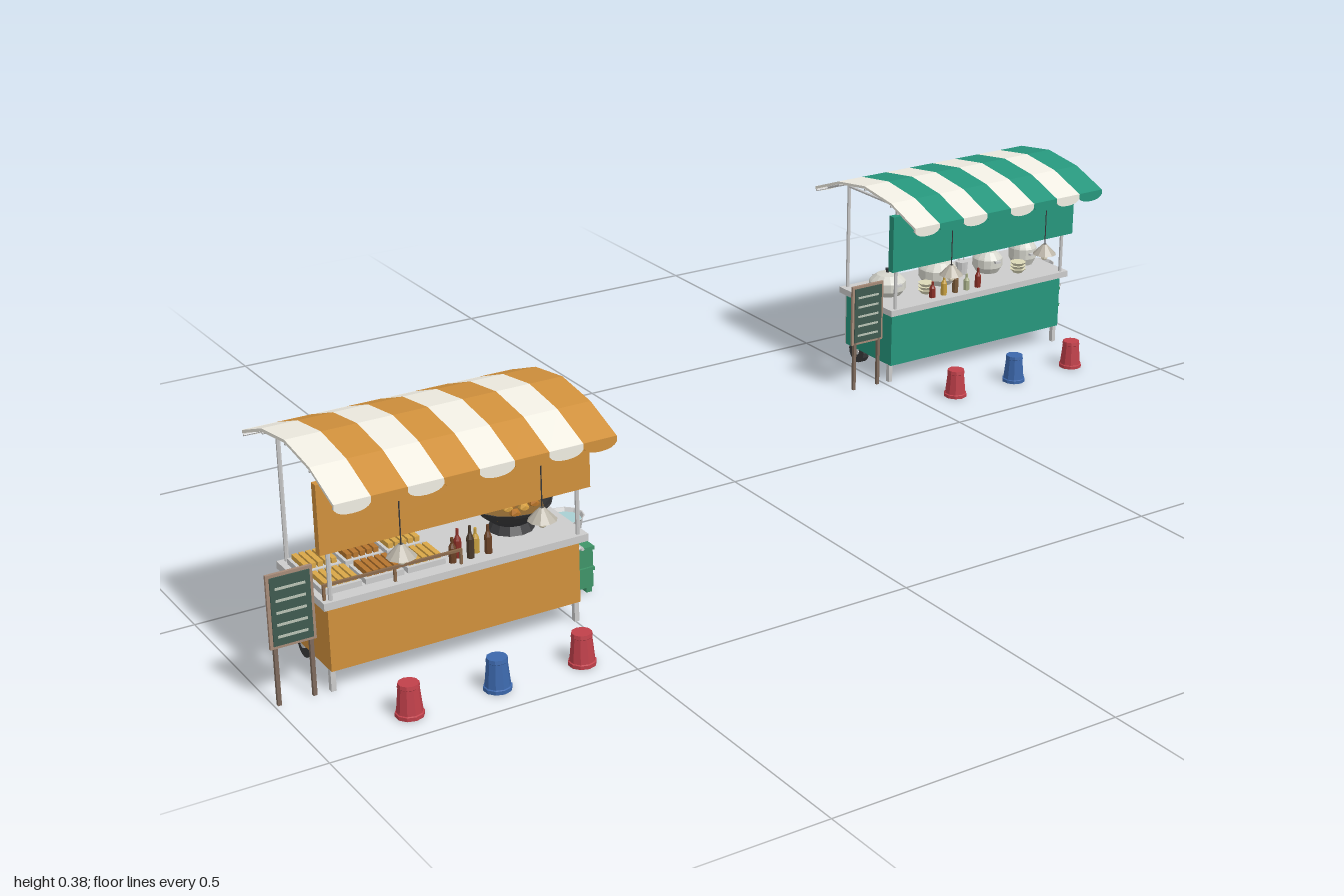
import * as THREE from 'three';

const mats = {};
function mat(color) {
  return (mats[color] ??= new THREE.MeshStandardMaterial({ color, flatShading: true, side: THREE.DoubleSide }));
}
const GREY = 0xcccccc, CREAM = 0xf0ede2, WOOD = 0x8a6a4c, DARK = 0x3a3a3c, RED = 0xc0404a, BLUE = 0x3c68ac, CRATE = 0x3f9468;

function add(parent, name, geo, color, x = 0, y = 0, z = 0) {
  const m = new THREE.Mesh(geo, mat(color));
  m.name = name;
  m.position.set(x, y, z);
  parent.add(m);
  return m;
}
// Box given by its min and max corners
function box(p, name, color, x0, x1, y0, y1, z0, z1) {
  return add(p, name, new THREE.BoxGeometry(x1 - x0, y1 - y0, z1 - z0), color, (x0 + x1) / 2, (y0 + y1) / 2, (z0 + z1) / 2);
}
// Upright cylinder standing on y
function cyl(p, name, color, rTop, rBottom, h, x, y, z, sides = 10) {
  return add(p, name, new THREE.CylinderGeometry(rTop, rBottom, h, sides), color, x, y + h / 2, z);
}
function lathe(p, name, color, pts, x, y, z, sides = 14) {
  return add(p, name, new THREE.LatheGeometry(pts.map(a => new THREE.Vector2(...a)), sides), color, x, y, z);
}
// Round bar between two points
function bar(p, name, color, a, b, r = 0.003) {
  const A = new THREE.Vector3(...a), B = new THREE.Vector3(...b);
  const m = add(p, name, new THREE.CylinderGeometry(r, r, A.distanceTo(B), 6), color);
  m.position.copy(A).lerp(B, 0.5);
  m.quaternion.setFromUnitVectors(new THREE.Vector3(0, 1, 0), B.sub(A).normalize());
  return m;
}

// Bent striped awning with a scalloped edge
function addCanopy(p, color) {
  const g = new THREE.Group(); g.name = 'canopy'; p.add(g);
  const half = 0.2275, n = 8, w = 2 * half / n;
  const prof = [[0.161, 0.341], [0.085, 0.37], [0, 0.382], [-0.085, 0.37], [-0.161, 0.341]];
  const under = prof.map(([z, y]) => [z, y - 0.005]).reverse();
  const shape = new THREE.Shape([...prof, ...under].map(([z, y]) => new THREE.Vector2(-z, y)));
  const strip = new THREE.ExtrudeGeometry(shape, { depth: w, bevelEnabled: false });
  strip.rotateY(Math.PI / 2);
  const flap = (drop) => {
    const s = new THREE.Shape();
    s.moveTo(0, 0); s.lineTo(0, -drop * 0.45);
    s.quadraticCurveTo(w * 0.1, -drop, w / 2, -drop);
    s.quadraticCurveTo(w * 0.9, -drop, w, -drop * 0.45);
    s.lineTo(w, 0);
    return new THREE.ExtrudeGeometry(s, { depth: 0.003, bevelEnabled: false, curveSegments: 4 });
  };
  const front = flap(0.019), back = flap(0.011);
  for (let i = 0; i < n; i++) {
    const c = i % 2 ? color : CREAM, x = -half + i * w;
    add(g, 'canopyStripe', strip, c, x);
    add(g, 'frontScallop', front, c, x, 0.341, 0.159);
    add(g, 'backScallop', back, c, x, 0.341, -0.162);
  }
  // Ribs under the cloth
  for (const [z, y] of prof) bar(g, 'canopyRib', GREY, [-half, y - 0.007, z * 0.98], [half, y - 0.007, z * 0.98], 0.002);
  for (const x of [-0.2, 0.2]) for (let i = 0; i < 4; i++)
    bar(g, 'canopyRafter', GREY, [x, prof[i][1] - 0.007, prof[i][0]], [x, prof[i + 1][1] - 0.007, prof[i + 1][0]], 0.002);
}

function addFrame(p, color) {
  // Cabinet, open at the back above a shelf
  box(p, 'cabinetFront', color, -0.209, 0.209, 0.035, 0.141, 0.066, 0.072);
  for (const s of [-1, 1]) box(p, 'cabinetSide', color, s * 0.206 - 0.003, s * 0.206 + 0.003, 0.035, 0.141, -0.077, 0.066);
  box(p, 'cabinetBack', color, -0.203, 0.203, 0.035, 0.097, -0.077, -0.071);
  box(p, 'cabinetFloor', WOOD, -0.203, 0.203, 0.035, 0.039, -0.071, 0.066);
  box(p, 'innerShelf', WOOD, -0.203, 0.203, 0.093, 0.097, -0.071, 0.066);
  box(p, 'counter', GREY, -0.219, 0.219, 0.141, 0.153, -0.087, 0.084);
  box(p, 'shelfBox', RED, 0.06, 0.1, 0.097, 0.117, -0.06, -0.03);
  box(p, 'shelfTray', GREY, -0.12, -0.03, 0.097, 0.112, -0.06, -0.02);
  // Posts, legs and wheels
  for (const x of [-0.205, 0.205]) {
    bar(p, 'backPost', GREY, [x, 0.035, -0.08], [x, 0.36, -0.08], 0.0035);
    bar(p, 'frontPost', GREY, [x, 0.15, 0.076], [x, 0.36, 0.076], 0.0035);
    bar(p, 'topRail', GREY, [x, 0.358, -0.08], [x, 0.358, 0.076]);
    box(p, 'frontLeg', GREY, x - 0.004, x + 0.004, 0, 0.036, 0.058, 0.067);
    const wx = x * 0.93;
    const wheel = cyl(p, 'wheel', DARK, 0.024, 0.024, 0.014, wx, 0.017, -0.057, 16);
    wheel.rotation.z = Math.PI / 2;
    const hub = cyl(p, 'wheelHub', GREY, 0.009, 0.009, 0.018, wx, 0.015, -0.057, 8);
    hub.rotation.z = Math.PI / 2;
  }
  for (const z of [-0.08, 0.076]) bar(p, 'longRail', GREY, [-0.205, 0.358, z], [0.205, 0.358, z]);
  // Blank fascia board and end handle
  box(p, 'fasciaBoard', color, -0.222, 0.222, 0.232, 0.342, 0.074, 0.088);
  bar(p, 'handle', GREY, [0.222, 0.116, 0.06], [0.222, 0.116, -0.06]);
  for (const z of [0.055, -0.055]) bar(p, 'handleStub', GREY, [0.206, 0.116, z], [0.222, 0.116, z]);
}

function addFittings(p) {
  // Hanging lamps
  for (const x of [-0.115, 0.115]) {
    bar(p, 'lampCord', DARK, [x, 0.24, 0.131], [x, 0.352, 0.131], 0.001);
    lathe(p, 'lampShade', 0xb9b3a6, [[0.004, 0.02], [0.008, 0.016], [0.023, 0]], x, 0.221, 0.131, 10);
    add(p, 'bulb', new THREE.SphereGeometry(0.007, 8, 6), 0xf3ead0, x, 0.215, 0.131);
    box(p, 'lampClamp', GREY, x - 0.009, x + 0.009, 0.353, 0.357, 0.086, 0.104);
    box(p, 'lampClampStem', GREY, x - 0.002, x + 0.002, 0.343, 0.355, 0.093, 0.097);
  }
  // Wash basin with water
  lathe(p, 'basin', GREY, [[0, 0], [0.025, 0], [0.03, 0.028], [0.033, 0.031], [0.031, 0.031], [0.028, 0.025]], 0.243, 0.101, -0.035, 12);
  cyl(p, 'water', 0xa9cfd2, 0.028, 0.028, 0.001, 0.243, 0.125, -0.035, 12);
  // Two stacked crates
  for (const y of [0.01, 0.046]) {
    box(p, 'crate', CRATE, 0.21, 0.278, y, y + 0.032, -0.058, -0.008);
    box(p, 'crateRim', CRATE, 0.208, 0.28, y + 0.029, y + 0.035, -0.06, -0.006);
  }
  for (const x of [0.216, 0.272]) box(p, 'crateFoot', CRATE, x - 0.005, x + 0.005, 0, 0.01, -0.055, -0.011);
  // Standing board with plain ruled rows
  box(p, 'standBoard', 0xa58a78, -0.297, -0.225, 0.092, 0.21, 0.059, 0.064);
  box(p, 'standBoardFace', 0x3f5a50, -0.292, -0.23, 0.097, 0.205, 0.062, 0.066);
  for (let i = 0; i < 5; i++) box(p, 'boardRow', 0xb8c2b4, -0.285, -0.238, 0.109 + i * 0.019, 0.113 + i * 0.019, 0.064, 0.067);
  for (const x of [-0.289, -0.233]) box(p, 'standLeg', 0x7d6a5c, x - 0.003, x + 0.003, 0, 0.1, 0.058, 0.064);
  // Stools in front
  [RED, BLUE, RED].forEach((c, i) => lathe(p, 'stool', c,
    [[0, 0], [0.022, 0], [0.022, 0.006], [0.02, 0.007], [0.016, 0.046], [0.017, 0.047], [0.016, 0.053], [0, 0.053]],
    (i - 1) * 0.143, 0, 0.191, 10));
}

function addBottle(p, x, z, color, h = 0.034) {
  lathe(p, 'bottle', color, [[0, 0], [0.006, 0], [0.006, h * 0.6], [0.0025, h * 0.78], [0.0025, h], [0, h]], x, 0.153, z, 8);
}

// Wok, food trays and bottles
function addFryingGoods(p) {
  const x = 0.132, z = -0.003;
  cyl(p, 'burner', DARK, 0.03, 0.037, 0.014, x, 0.153, z, 12);
  lathe(p, 'wok', DARK, [[0, 0.006], [0.026, 0.008], [0.046, 0.024], [0.064, 0.044], [0.066, 0.044], [0.062, 0.038]], x, 0.155, z, 16);
  cyl(p, 'wokFood', 0x8a6430, 0.052, 0.05, 0.003, x, 0.184, z, 14);
  for (let i = 0; i < 9; i++) {
    const a = i * 2.4, r = 0.013 * Math.sqrt(i);
    add(p, 'friedPiece', new THREE.IcosahedronGeometry(0.009, 0), i % 2 ? 0xd8a040 : 0xb87428, x + r * Math.cos(a), 0.189, z + r * Math.sin(a));
  }
  for (const zc of [0.03, -0.04]) for (let i = 0; i < 3; i++) {
    const cx = -0.178 + i * 0.068;
    box(p, 'tray', GREY, cx - 0.031, cx + 0.031, 0.153, 0.162, zc - 0.029, zc + 0.029);
    for (let k = 0; k < 5; k++) {
      const sx = cx - 0.022 + k * 0.011;
      box(p, 'snack', i % 2 ? 0xb5752e : 0xd9a748, sx - 0.004, sx + 0.004, 0.162, 0.17, zc - 0.023, zc + 0.023);
    }
  }
  box(p, 'guardRail', WOOD, -0.215, 0.01, 0.174, 0.178, 0.07, 0.074);
  for (const gx of [-0.213, -0.1, 0.008]) box(p, 'guardPost', WOOD, gx - 0.002, gx + 0.002, 0.153, 0.176, 0.07, 0.074);
  [0x6b4226, 0x8c2f26, 0x4a3a2c, 0xc8a040, 0x6b4226].forEach((c, i) => addBottle(p, 0.0 + i * 0.015, 0.06 - (i % 2) * 0.012, c, 0.04 + (i % 3) * 0.006));
}

// Lidded pots, bowls, jars and ladles
function addSoupGoods(p) {
  const pots = [[-0.163, 0.036, 0.038], [-0.04, 0.038, 0.042], [0.085, 0.03, 0.04], [0.175, 0.028, 0.048]];
  for (const [x, r, h] of pots) {
    lathe(p, 'pot', 0xd5d5cc, [[0, 0], [r * 0.75, 0], [r, h * 0.3], [r, h * 0.72], [r * 0.92, h * 0.8], [r * 0.6, h * 1.05], [0, h * 1.15]], x, 0.153, -0.006, 14);
    cyl(p, 'lidKnob', DARK, 0.005, 0.003, 0.008, x, 0.153 + h * 1.13, -0.006, 8);
    for (const s of [-1, 1]) box(p, 'potHandle', GREY, x - 0.006, x + 0.006, 0.177, 0.181, -0.006 + s * r - 0.005, -0.006 + s * r + 0.005);
  }
  for (const x of [0.025, 0.036]) {
    bar(p, 'ladle', GREY, [x, 0.155, -0.02], [x + 0.008, 0.22, -0.03], 0.0015);
  }
  cyl(p, 'utensilCup', GREY, 0.013, 0.011, 0.026, 0.031, 0.153, -0.02);
  for (const x of [-0.1, 0.13]) for (let k = 0; k < 3; k++)
    cyl(p, 'bowl', 0xdcd8b8, 0.016, 0.009, 0.008, x, 0.153 + k * 0.007, 0.035);
  [0x8c2f26, 0xc8a040, 0x7a5a38, 0xa9b08a, 0x8c2f26].forEach((c, i) => addBottle(p, -0.105 + i * 0.028, 0.062, c, 0.032 + (i % 3) * 0.007));
}

function createCart(name, color, addGoods) {
  const g = new THREE.Group();
  g.name = name;
  addCanopy(g, color);
  addFrame(g, color);
  addFittings(g);
  addGoods(g);
  return g;
}

export function createModel() {
  const model = new THREE.Group();
  model.name = 'foodCarts';
  const orange = createCart('orangeCart', 0xd0903c, addFryingGoods);
  orange.position.set(-0.703, 0, 0.247);
  const green = createCart('greenCart', 0x26967c, addSoupGoods);
  green.position.set(0.72, 0, -0.303);
  model.add(orange, green);
  return model;
}
